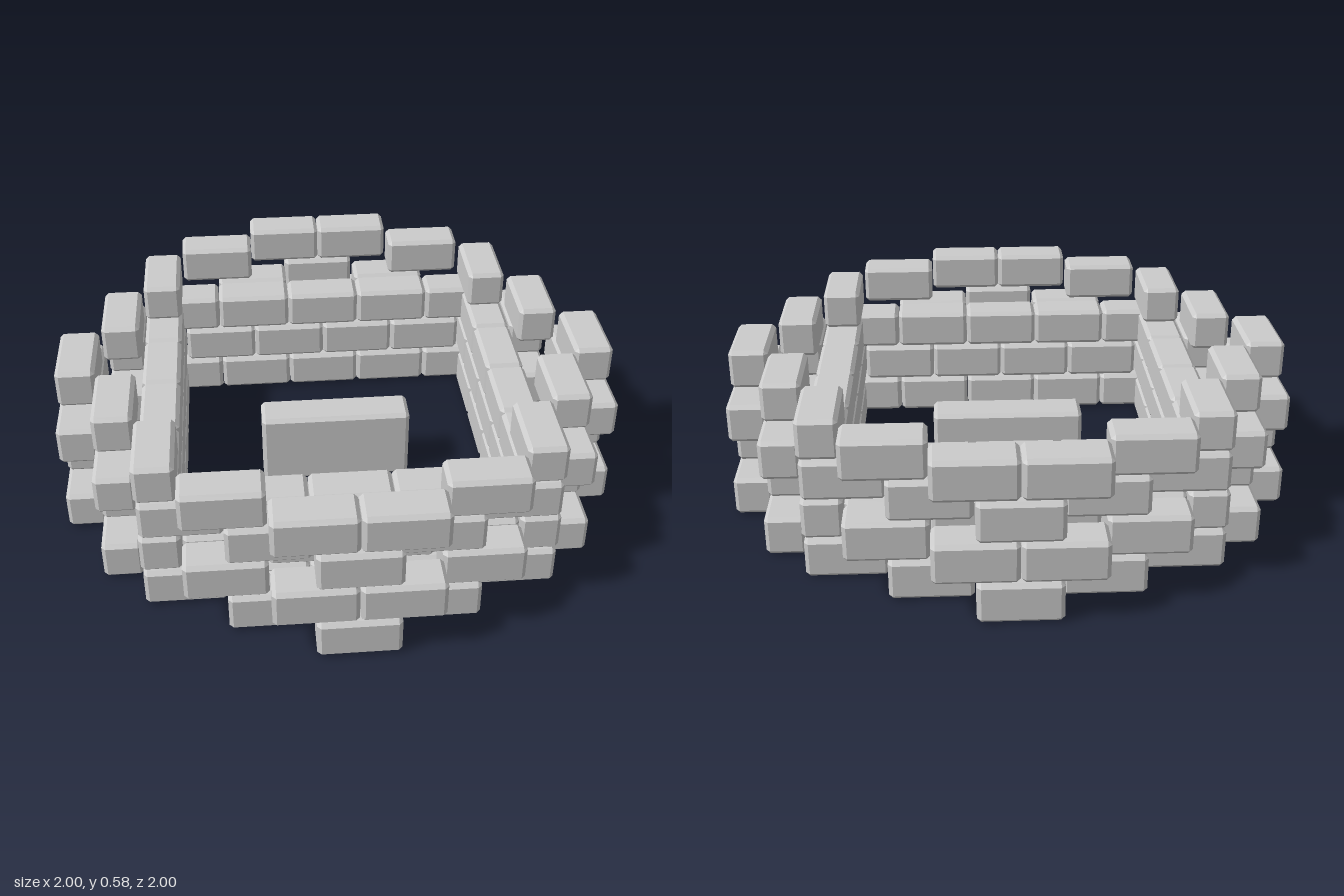
import * as THREE from 'three';
import { ConvexGeometry } from 'three/addons/geometries/ConvexGeometry.js';

const material = new THREE.MeshStandardMaterial({ color: 0xcccccc, flatShading: true });

// Box with every edge and corner chamfered by c
function chamferedBox(w, h, d, c) {
  const points = [];
  for (const sx of [-1, 1]) for (const sy of [-1, 1]) for (const sz of [-1, 1]) {
    for (let full = 0; full < 3; full++) {
      const inset = [c, c, c];
      inset[full] = 0;
      points.push(new THREE.Vector3(
        sx * (w / 2 - inset[0]), sy * (h / 2 - inset[1]), sz * (d / 2 - inset[2])));
    }
  }
  return new ConvexGeometry(points);
}

const LENGTH = 0.2825;              // spacing along a row
const COURSE = 0.146;               // spacing between courses
const ROWS = [0.93, 0.785, 0.64];   // outer, middle and inner row distances

// Brick centres of one side as [offset along the row, distance from the centre]
const rowOf = (offsets, distance) => offsets.map((a) => [a * LENGTH, distance]);
const SIDE_A = [                    // centred brick outside, ends on the corners
  ...rowOf([0], ROWS[0]), ...rowOf([-1, 1], ROWS[1]), ...rowOf([-2, 2], ROWS[2])];
const INNER_A = rowOf([-1, 0, 1], ROWS[2]);
const SIDE_B = [                    // centred seam outside, stops short of the corners
  ...rowOf([-0.5, 0.5], ROWS[0]), ...rowOf([-1.5, 1.5], ROWS[1])];
const INNER_B = rowOf([-1.5, -0.5, 0.5, 1.5], ROWS[2]);

export function createModel() {
  const model = new THREE.Group();
  model.name = 'brickRing';
  const brick = chamferedBox(0.28, 0.1425, 0.14, 0.014);

  // Four courses, each turned a quarter from the one below
  for (let i = 0; i < 4; i++) {
    const course = new THREE.Group();
    course.name = `course${i + 1}`;
    course.position.y = 0.0715 + i * COURSE;
    course.rotation.y = (i % 2) * Math.PI / 2;

    // The top course has no inner wall
    const inner = i < 3;
    const a = inner ? [...SIDE_A, ...INNER_A] : SIDE_A;
    const b = inner ? [...SIDE_B, ...INNER_B] : SIDE_B;

    for (let s = 0; s < 4; s++) {
      const side = new THREE.Group();
      side.name = `courseSide${s + 1}`;
      side.rotation.y = s * Math.PI / 2;
      for (const [along, out] of s % 2 ? b : a) {
        const mesh = new THREE.Mesh(brick, material);
        mesh.name = 'brick';
        mesh.position.set(along, 0, out);
        side.add(mesh);
      }
      course.add(side);
    }
    model.add(course);
  }

  // Large block in the middle of the floor
  const block = new THREE.Mesh(chamferedBox(0.555, 0.28, 0.14, 0.014), material);
  block.name = 'centreBlock';
  block.position.y = 0.14;
  model.add(block);
  return model;
}
